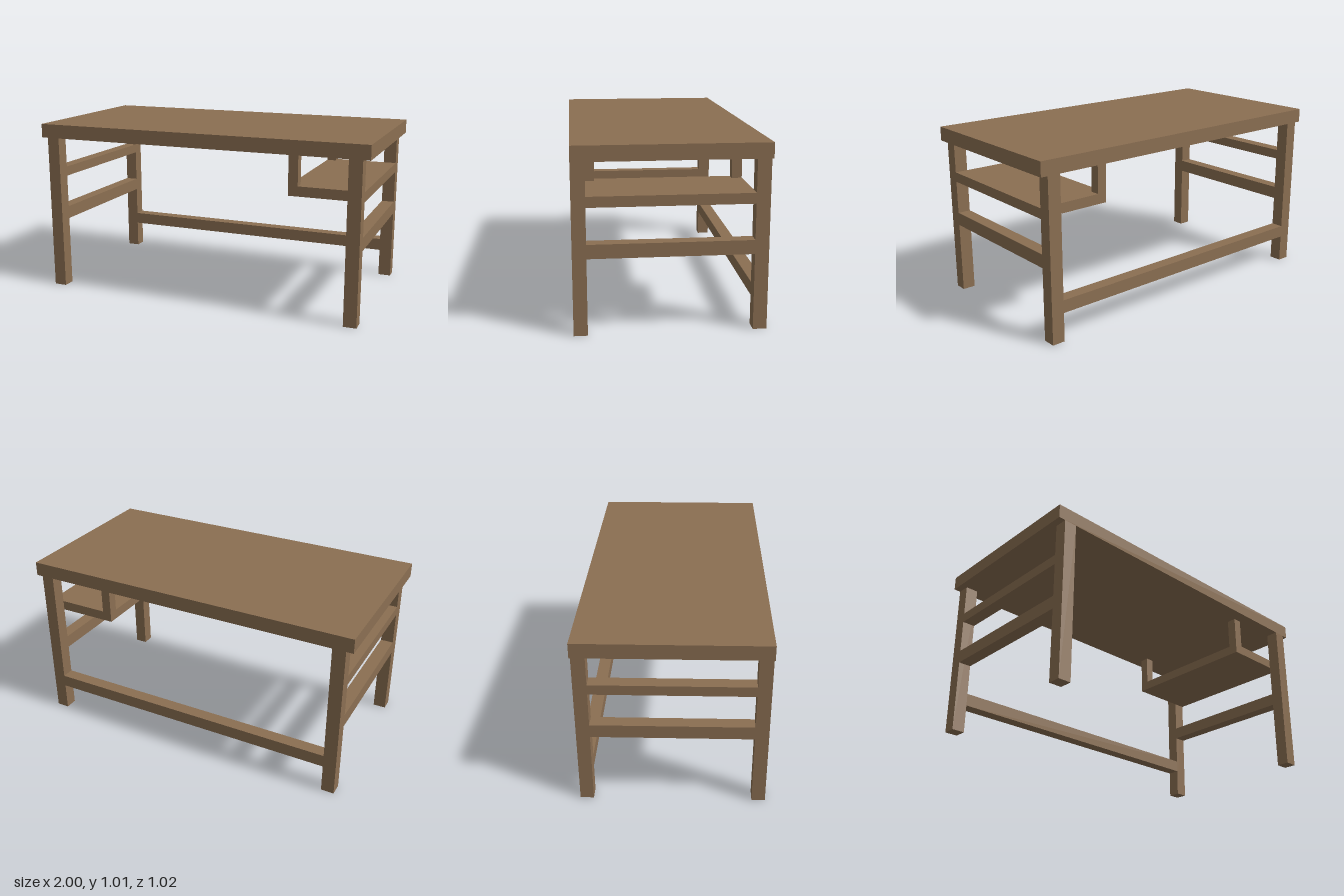
import * as THREE from 'three';

export function createModel() {
  const group = new THREE.Group();
  const wood = new THREE.MeshStandardMaterial({ color: 0x8b6f52 });
  wood.name = 'brown wood';

  // Box given by its minimum and maximum on each axis
  function board(name, [x0, x1], [y0, y1], [z0, z1]) {
    const mesh = new THREE.Mesh(new THREE.BoxGeometry(x1 - x0, y1 - y0, z1 - z0), wood);
    mesh.position.set((x0 + x1) / 2, (y0 + y1) / 2, (z0 + z1) / 2);
    mesh.name = name;
    group.add(mesh);
  }
  // Range mirrored to the negative side when s is -1
  const side = (s, a, b) => (s > 0 ? [a, b] : [-b, -a]);

  const depth = 0.51, inner = 0.436;     // leg faces along z
  const legIn = 0.885, legOut = 0.96;    // leg faces along x
  const topY = 0.926;                    // underside of the table top

  board('tableTop', [-1, 1], [topY, 1.008], [-depth, depth]);

  for (const sx of [-1, 1]) {
    const x = side(sx, legIn, legOut);
    for (const sz of [-1, 1]) board('leg', x, [0, topY], side(sz, inner, depth));
    // Two rails join the legs at each end
    board('lowerSideRail', x, [0.416, 0.492], [-inner, inner]);
    board('upperSideRail', x, [0.685, 0.742], [-inner, inner]);
  }

  // Long stretcher between the back legs
  board('backStretcher', [-legIn, legIn], [0.165, 0.238], [-depth, -inner]);

  // Hanging shelf under the top, carried by two posts
  board('shelf', [0.535, legIn], [0.685, 0.742], [-inner, inner]);
  for (const sz of [-1, 1]) {
    board('shelfPost', [0.535, 0.59], [0.742, topY], side(sz, 0.38, inner));
  }

  return group;
}
